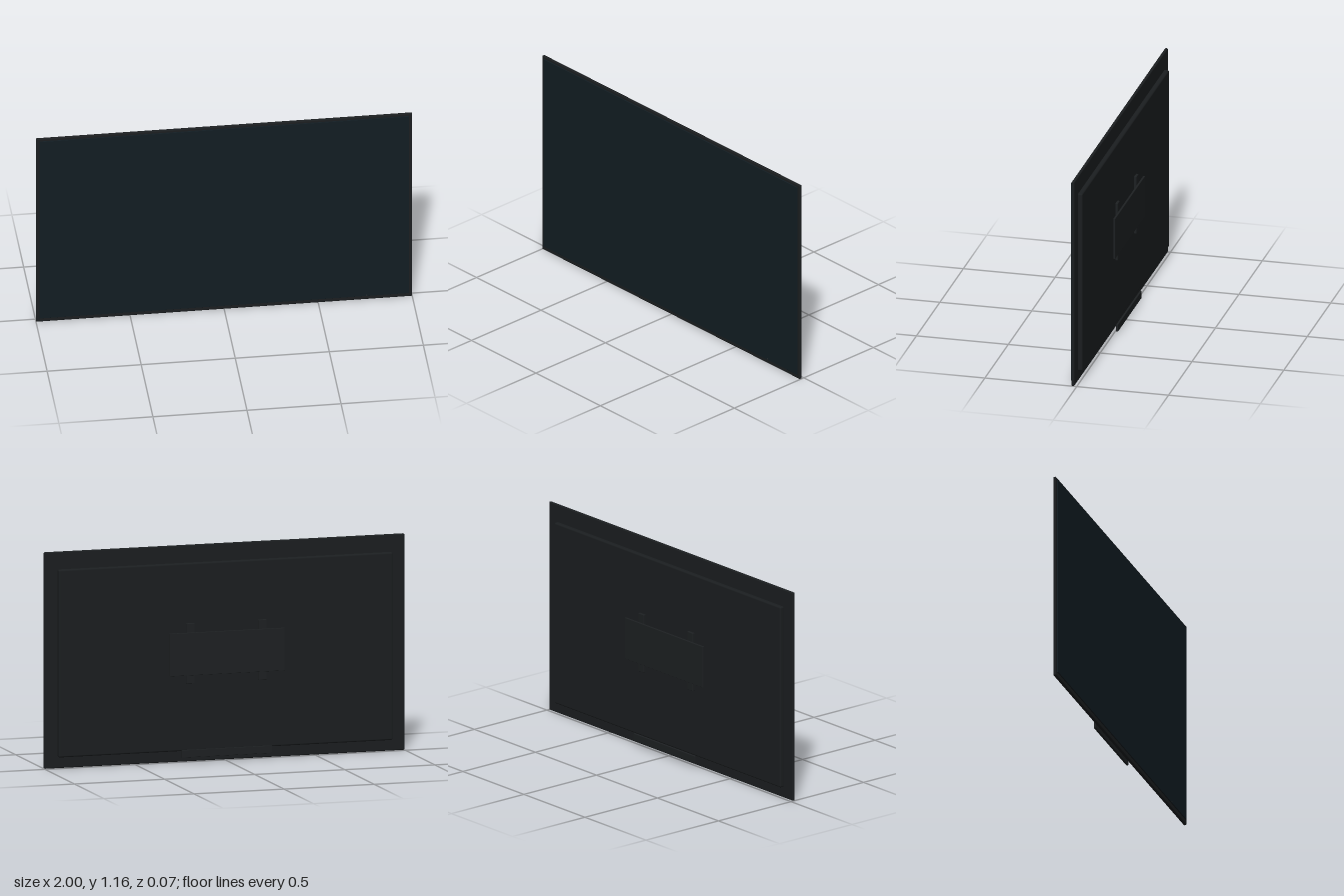
import * as THREE from 'three';
import { RoundedBoxGeometry } from 'three/addons/geometries/RoundedBoxGeometry.js';

const paint = (color) => new THREE.MeshStandardMaterial({ color });

export function createModel() {
  const group = new THREE.Group();
  const casing = paint(0x1b1e20);
  const glass = paint(0x121d23);
  const metal = paint(0x1d2022);

  // Box given by its limits on each axis, with softened edges
  function slab(name, material, [x0, x1], [y0, y1], [z0, z1], radius) {
    const geometry = new RoundedBoxGeometry(x1 - x0, y1 - y0, z1 - z0, 3, radius);
    const mesh = new THREE.Mesh(geometry, material);
    mesh.name = name;
    mesh.position.set((x0 + x1) / 2, (y0 + y1) / 2, (z0 + z1) / 2);
    group.add(mesh);
    return mesh;
  }

  // Display panel: frame, glass and the thicker housing behind
  slab('frame', casing, [-1, 1], [0, 1.157], [0.013, 0.029], 0.006);
  slab('screen', glass, [-0.982, 0.982], [0.025, 1.143], [0.024, 0.035], 0.001);
  slab('rearHousing', casing, [-0.927, 0.927], [0.06, 1.064], [-0.012, 0.016], 0.009);

  // Wall mount: two upright rails and a wall plate
  for (const side of [-1, 1]) {
    slab(side > 0 ? 'leftMountRail' : 'rightMountRail', metal,
      [side * 0.2 - 0.023, side * 0.2 + 0.023], [0.42, 0.743], [-0.025, -0.01], 0.003);
  }
  slab('wallPlate', metal, [-0.32, 0.32], [0.467, 0.695], [-0.036, -0.025], 0.002);

  // Strip along the lower back edge
  slab('lowerStrip', metal, [-0.25, 0.25], [0.029, 0.069], [-0.034, -0.023], 0.002);

  // Small status light at the lower front edge
  const light = new THREE.Mesh(new THREE.SphereGeometry(0.004, 12, 8), paint(0x303030));
  light.name = 'statusLight';
  light.position.set(0.757, 0.03, 0.033);
  group.add(light);

  return group;
}
